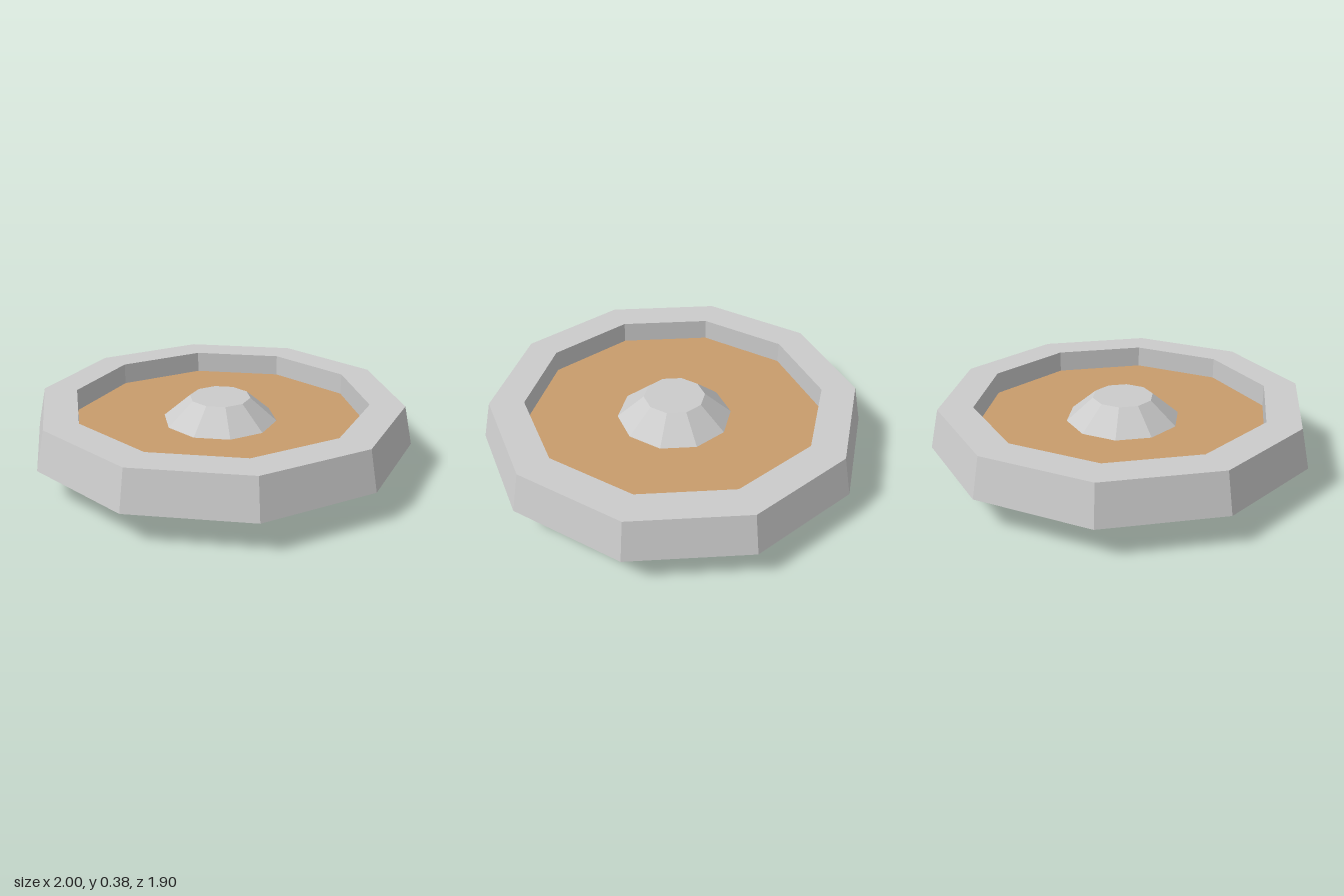
import * as THREE from 'three';

const SIDES = 10;
const START = Math.PI / 2; // puts a corner on the x axis

function material(color) {
  return new THREE.MeshStandardMaterial({ color, flatShading: true });
}

function addMesh(group, name, geometry, mat) {
  const mesh = new THREE.Mesh(geometry, mat);
  mesh.name = name;
  group.add(mesh);
  return mesh;
}

// ten-sided prism or frustum standing between two heights
function decagon(topRadius, bottomRadius, y0, y1) {
  return new THREE.CylinderGeometry(topRadius, bottomRadius, y1 - y0, SIDES, 1, false, START)
    .translate(0, (y0 + y1) / 2, 0);
}

export function createModel() {
  const shield = new THREE.Group();
  shield.name = 'shield';
  const metal = material(0xcccccc);
  const paleWood = material(0xc89c6c);
  const darkWood = material(0x6b381c);

  // metal rim: closed profile with a sloped outer wall
  const rimProfile = [[1, 0.165], [0.955, 0.37], [0.775, 0.37], [0.775, 0.165], [1, 0.165]]
    .map(([r, y]) => new THREE.Vector2(r, y));
  addMesh(shield, 'rim', new THREE.LatheGeometry(rimProfile, SIDES, START), metal);

  // wooden board set inside the rim
  addMesh(shield, 'board', decagon(0.775, 0.775, 0.215, 0.255), paleWood);

  // tapered central boss
  addMesh(shield, 'boss', decagon(0.16, 0.305, 0.25, 0.375), metal);

  // grip underneath: half outline mirrored in x, then extruded along z
  const outer = [[0.268, 0], [0.27, 0.05], [0.28, 0.13], [0.305, 0.165], [0.33, 0.22]];
  const inner = [[0.26, 0.22], [0.24, 0.165], [0.222, 0.12], [0.215, 0.045]];
  const half = [...outer, ...inner];
  const mirrored = half.map(([x, y]) => [-x, y]).reverse();
  const outline = [...half, ...mirrored].map(([x, y]) => new THREE.Vector2(x, y));
  const grip = new THREE.ExtrudeGeometry(new THREE.Shape(outline), { depth: 0.14, bevelEnabled: false });
  addMesh(shield, 'handle', grip.translate(0, 0, -0.07), darkWood);

  return shield;
}
